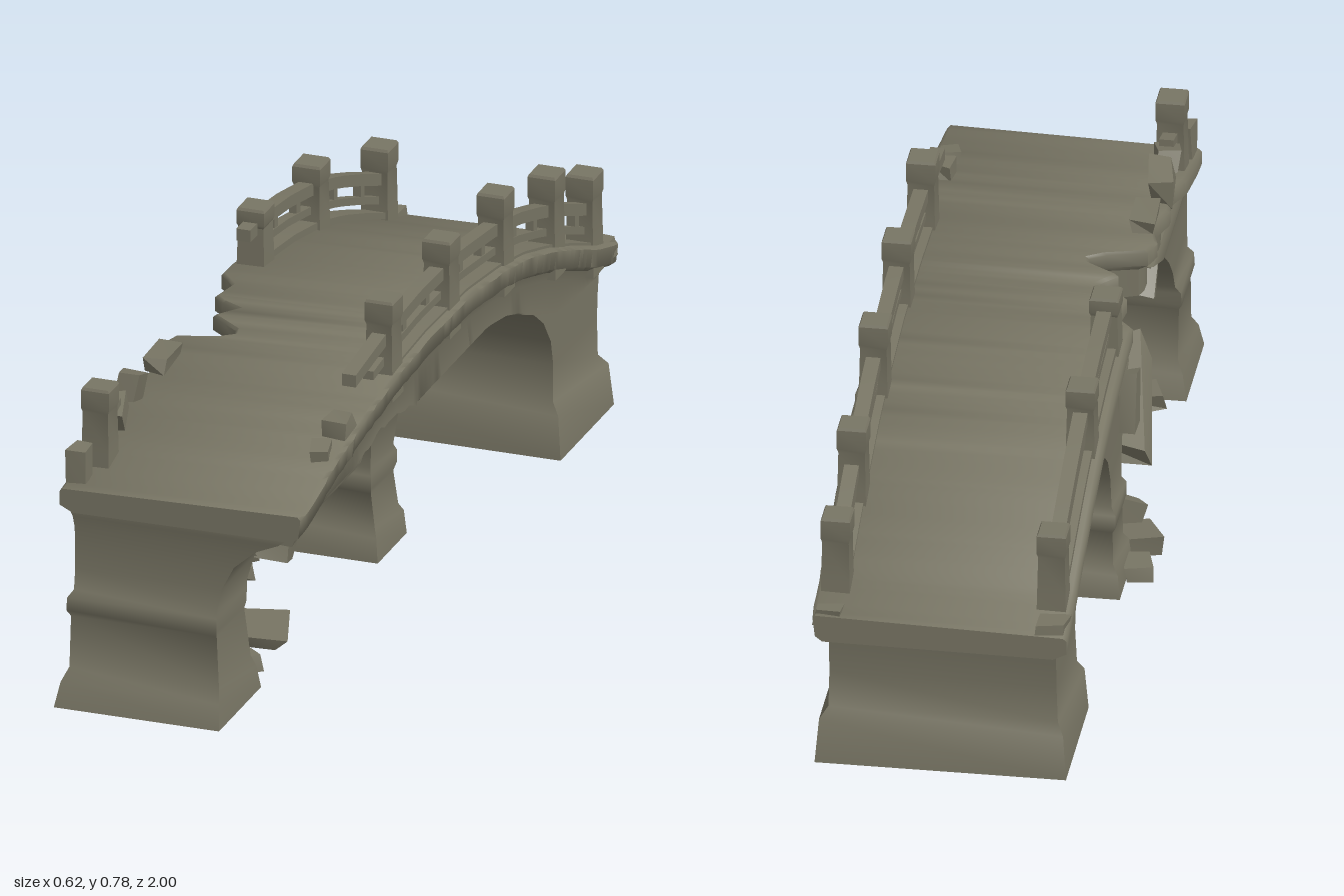
import * as THREE from 'three';
import { toCreasedNormals } from 'three/addons/utils/BufferGeometryUtils.js';

let seed = 7;
const rnd = () => {
  seed = (seed * 16807) % 2147483647;
  return seed / 2147483647 - 0.5;
};

// piecewise-linear lookup in [[key, value], ...] with rising keys
function lookup(table, k) {
  for (let i = 1; i < table.length; i++) {
    const [a, va] = table[i - 1], [b, vb] = table[i];
    if (k <= b) return va + (vb - va) * Math.max(0, (k - a) / (b - a));
  }
  return table[table.length - 1][1];
}

// closed skin over a stack of rings (arrays of [x, y, z]) with end caps
function loft(rings, crease = 0.6) {
  const n = rings[0].length, pos = rings.flat(2), idx = [];
  for (let r = 0; r < rings.length - 1; r++) {
    for (let i = 0; i < n; i++) {
      const a = r * n + i, b = r * n + (i + 1) % n;
      idx.push(a, b, b + n, a, b + n, a + n);
    }
  }
  const last = (rings.length - 1) * n;
  for (let i = 1; i < n - 1; i++) idx.push(0, i + 1, i, last, last + i, last + i + 1);
  // turn the skin outward if its signed volume is negative
  const v = i => new THREE.Vector3(pos[i * 3], pos[i * 3 + 1], pos[i * 3 + 2]);
  let volume = 0;
  for (let i = 0; i < idx.length; i += 3) volume += v(idx[i]).dot(v(idx[i + 1]).cross(v(idx[i + 2])));
  if (volume < 0) idx.reverse();
  const g = new THREE.BufferGeometry();
  g.setAttribute('position', new THREE.Float32BufferAttribute(pos, 3));
  g.setIndex(idx);
  return toCreasedNormals(g, crease);
}

// walking surface height, vault underside and broken left edge along z
const TOP = [[-1, 0.368], [-0.88, 0.403], [-0.75, 0.455], [-0.6, 0.51], [-0.45, 0.555], [-0.3, 0.585],
  [-0.1, 0.61], [0.15, 0.616], [0.35, 0.606], [0.55, 0.583], [0.75, 0.55], [0.9, 0.515], [1, 0.502]];
const UNDER = [[-0.95, 0.3], [-0.7, 0.32], [-0.54, 0.38], [-0.46, 0.412], [-0.38, 0.425], [-0.28, 0.41], [-0.2, 0.37],
  [-0.15, 0.36], [0, 0.42], [0.12, 0.44], [0.2, 0.465], [0.3, 0.485], [0.4, 0.485], [0.5, 0.465], [0.6, 0.43], [0.95, 0.45]];
const EDGE = [[-0.02, -0.245], [0, -0.2], [0.1, -0.215], [0.14, -0.14], [0.19, -0.18], [0.24, -0.11],
  [0.285, -0.1], [0.3, -0.22], [0.36, -0.24], [0.45, -0.215], [0.55, -0.24], [0.65, -0.22], [0.75, -0.245]];
// right flank of the stonework by height, worn away below and flaring to the deck
const FLANK = [[0.3, 0.122], [0.365, 0.15], [0.41, 0.2], [0.435, 0.255], [0.455, 0.28]];
const top = z => lookup(TOP, z);

export function createModel() {
  const model = new THREE.Group();
  const stone = new THREE.MeshStandardMaterial({ color: 0x787564 });
  stone.name = 'weathered stone';
  const add = (name, geometry) => {
    const m = new THREE.Mesh(geometry, stone);
    m.name = name;
    model.add(m);
    return m;
  };

  // piers: rows of [y, x min, x max, z min, z max], spreading upward into the arches
  const pier = (name, rows) => add(name, loft(rows.map(([y, x0, x1, z0, z1]) =>
    [[x0, y, z0], [x1, y, z0], [x1, y, z1], [x0, y, z1]]), 0.9));
  pier('frontPier', [
    [0, -0.245, 0.135, 0.74, 1], [0.055, -0.235, 0.13, 0.755, 0.985], [0.085, -0.222, 0.122, 0.77, 0.965],
    [0.2, -0.222, 0.113, 0.785, 0.955], [0.215, -0.23, 0.115, 0.776, 0.963], [0.245, -0.228, 0.115, 0.774, 0.963],
    [0.262, -0.216, 0.114, 0.77, 0.953], [0.31, -0.215, 0.122, 0.745, 0.948], [0.365, -0.215, 0.15, 0.69, 0.948],
    [0.41, -0.215, 0.2, 0.63, 0.952], [0.435, -0.218, 0.255, 0.59, 0.956], [0.455, -0.225, 0.28, 0.54, 0.96],
    [0.48, -0.215, 0.28, 0.46, 0.955]]);
  pier('middlePier', [
    [0, -0.235, 0.135, -0.16, 0.02], [0.055, -0.23, 0.13, -0.155, 0.015], [0.075, -0.218, 0.122, -0.142, 0.003],
    [0.152, -0.216, 0.112, -0.138, 0], [0.168, -0.224, 0.116, -0.149, 0.011], [0.198, -0.224, 0.116, -0.149, 0.011],
    [0.214, -0.214, 0.112, -0.138, 0.003], [0.29, -0.213, 0.12, -0.15, 0.018], [0.35, -0.213, 0.143, -0.185, 0.04],
    [0.39, -0.213, 0.178, -0.235, 0.065], [0.415, -0.213, 0.21, -0.29, 0.09], [0.435, -0.213, 0.255, -0.36, 0.12],
    [0.47, -0.2, 0.28, -0.4, 0.17]]);
  pier('backPier', [
    [0, -0.24, 0.308, -0.975, -0.645], [0.1, -0.232, 0.3, -0.963, -0.652], [0.125, -0.218, 0.282, -0.945, -0.668],
    [0.21, -0.215, 0.28, -0.945, -0.675], [0.27, -0.215, 0.28, -0.95, -0.66], [0.33, -0.215, 0.28, -0.96, -0.615],
    [0.37, -0.215, 0.28, -0.9, -0.56], [0.4, -0.215, 0.28, -0.82, -0.51], [0.425, -0.215, 0.28, -0.76, -0.44]]);

  // vault body and overhanging deck slab, swept along the bridge
  const stations = [];
  for (let i = 0; i <= 78; i++) stations.push(-0.985 + i * 0.025);
  add('vaultBody', loft(stations.filter(z => Math.abs(z) < 0.956).map(z => {
    const x0 = Math.max(-0.215, lookup(EDGE, z) + 0.02), y1 = top(z) - 0.03, y0 = lookup(UNDER, z);
    const ragged = z > 0.05 && z < 0.6 ? rnd() * 0.016 : 0;
    const worn = THREE.MathUtils.smoothstep(z, -0.5, -0.25);
    const x1 = THREE.MathUtils.lerp(0.28, lookup(FLANK, y0), worn);
    const shoulder = Math.min(y1 - 0.05, Math.max(y0 + 0.005, THREE.MathUtils.lerp(y0, 0.46, worn)));
    return [[x0, y0 + ragged, z], [0.05, y0 + ragged, z], [x1, y0 - ragged, z], [0.28, shoulder, z],
      [0.282, y1 - 0.045, z], [0.294, y1 - 0.015, z], [x0, y1, z]];
  }), 0.9));
  // the slab leans slightly down to the left
  add('deck', loft([-1, ...stations].map(z => {
    const t = top(z), x0 = lookup(EDGE, z), chip = rnd() * 0.004;
    return [[x0 + 0.03, t - 0.06, z], [0.288, t - 0.056, z], [0.305 + chip, t - 0.044, z], [0.31 + chip, t - 0.002, z],
      [0.302, t + 0.006, z], [x0 + 0.008, t - 0.007, z], [x0, t - 0.014, z], [x0, t - 0.045, z]];
  }), 0.9));

  // posts with a slightly swollen cap
  const post = (x, z, h) => {
    const y = top(z);
    const rows = [[-0.06, 0.033], [0.02, 0.031], [h * 0.66, 0.029], [h * 0.72, 0.032], [h - 0.006, 0.032], [h, 0.029]];
    add('railPost', loft(rows.map(([dy, r]) => [[-r, -r], [r, -r], [r, r], [-r, r]]
      .map(([dx, dz]) => [x + dx, y + dy, z + dz])), 0.4));
  };
  const RX = 0.27, LX = -0.2;
  [[0.345, 0.172], [-0.01, 0.165], [-0.345, 0.175], [-0.66, 0.18], [-0.895, 0.175]].forEach(([z, h]) => post(RX, z, h));
  [[0.835, 0.168], [-0.125, 0.128], [-0.47, 0.15], [-0.89, 0.17]].forEach(([z, h]) => post(LX, z, h));

  // rails following the deck at a given lift
  const rail = (name, x, z0, z1, lift, w, h) => {
    const rings = [];
    for (let i = 0; i <= 8; i++) {
      const z = z0 + (z1 - z0) * i / 8, y = top(z) + lift;
      rings.push([[x - w, y - h, z], [x + w, y - h, z], [x + w, y + h, z], [x - w, y + h, z]]);
    }
    add(name, loft(rings));
  };
  const spans = [[RX, -0.895, -0.66], [RX, -0.66, -0.345], [RX, -0.345, -0.01], [RX, -0.01, 0.345],
    [LX, -0.89, -0.47], [LX, -0.47, -0.125]];
  for (const [x, a, b] of spans) {
    rail('topRail', x, a, b, 0.088, 0.016, 0.014);
    rail('lowerRail', x, a, b, 0.038, 0.011, 0.009);
    rail('railFoot', x, a, b, 0.004, 0.026, 0.008);
    for (const f of [0.3, 0.7]) {
      const z = a + (b - a) * f;
      const s = add('railSpacer', new THREE.BoxGeometry(0.018, 0.05, 0.022));
      s.position.set(x, top(z) + 0.06, z);
    }
  }
  rail('brokenTopRail', RX, 0.345, 0.56, 0.085, 0.016, 0.014);
  rail('brokenLowerRail', RX, 0.345, 0.44, 0.035, 0.012, 0.01);
  rail('brokenTopRail', LX, -0.125, -0.05, 0.08, 0.016, 0.014);
  rail('brokenTopRail', LX, 0.75, 0.83, 0.07, 0.016, 0.014);

  // broken stones: boxes with shaken corners, kept above the ground
  const rock = (name, x, y, z, sx, sy, sz, rx = 0, ry = 0, rz = 0) => {
    const ring = s => [[-1, -1], [1, -1], [1, 1], [-1, 1]].map(([a, b]) =>
      [sx * (a / 2 + rnd() * 0.25), sy * (s / 2 + rnd() * 0.15), sz * (b / 2 + rnd() * 0.25)]);
    const m = add(name, loft([ring(-1), ring(1)], 0.4));
    m.position.set(x, y, z);
    m.rotation.set(rx, ry, rz);
    m.position.y -= Math.min(0, new THREE.Box3().setFromObject(m, true).min.y);
  };
  // fallen pieces under the front arch
  rock('fallenSlab', -0.1, 0.08, 0.57, 0.16, 0.045, 0.27, -0.45, 0.1, 0.05);
  rock('fallenSlab', 0.03, 0.02, 0.5, 0.13, 0.025, 0.17, -0.08, 0.3);
  rock('fallenStone', -0.13, 0.03, 0.68, 0.13, 0.04, 0.09, 0.1, 0.5);
  rock('fallenStone', 0.05, 0.02, 0.66, 0.09, 0.035, 0.08, 0, 0.8);
  // heap beside the middle pier
  rock('fallenStone', -0.17, 0.05, 0.14, 0.11, 0.06, 0.1, 0.4, 0.3, 0.2);
  rock('fallenStone', -0.22, 0.025, 0.06, 0.12, 0.045, 0.11, 0.1, 0.3);
  rock('fallenStone', -0.08, 0.04, 0.11, 0.1, 0.06, 0.09, -0.3, 0.2);
  rock('fallenStone', -0.14, 0.02, 0.2, 0.1, 0.03, 0.07, 0, 0.6);
  rock('fallenStone', -0.26, 0.02, -0.04, 0.06, 0.035, 0.09, 0, 0.2);
  // torn stones hanging along the broken arch edge
  rock('hangingStone', -0.17, 0.42, 0.55, 0.08, 0.1, 0.06, 0.6, 0.2, 0.1);
  rock('hangingStone', -0.16, 0.475, 0.43, 0.08, 0.04, 0.1, 0.3);
  rock('hangingStone', -0.14, 0.455, 0.13, 0.1, 0.07, 0.08, 0.5);
  rock('hangingStone', -0.225, 0.39, 0.03, 0.045, 0.12, 0.07, 0.2);
  // leftovers of the lost railing
  rock('railStump', LX, 0.595, 0.74, 0.05, 0.045, 0.08, 0.3, 0.2);
  rock('railStump', LX - 0.01, 0.605, 0.62, 0.05, 0.06, 0.09, -0.3, 0.1);
  rock('railStump', LX, 0.61, 0.45, 0.05, 0.03, 0.12);
  rock('railStump', LX - 0.015, 0.545, 0.92, 0.04, 0.08, 0.05);
  rock('railStump', RX, 0.565, 0.73, 0.04, 0.04, 0.05, 0.2, 0.3);
  rock('railStump', RX, 0.59, 0.63, 0.055, 0.04, 0.06, 0.1);
  // end stones on the low end of the deck
  for (const x of [-0.21, 0.275]) rock('endStone', x, 0.365, -0.965, 0.06, 0.04, 0.055);
  return model;
}
